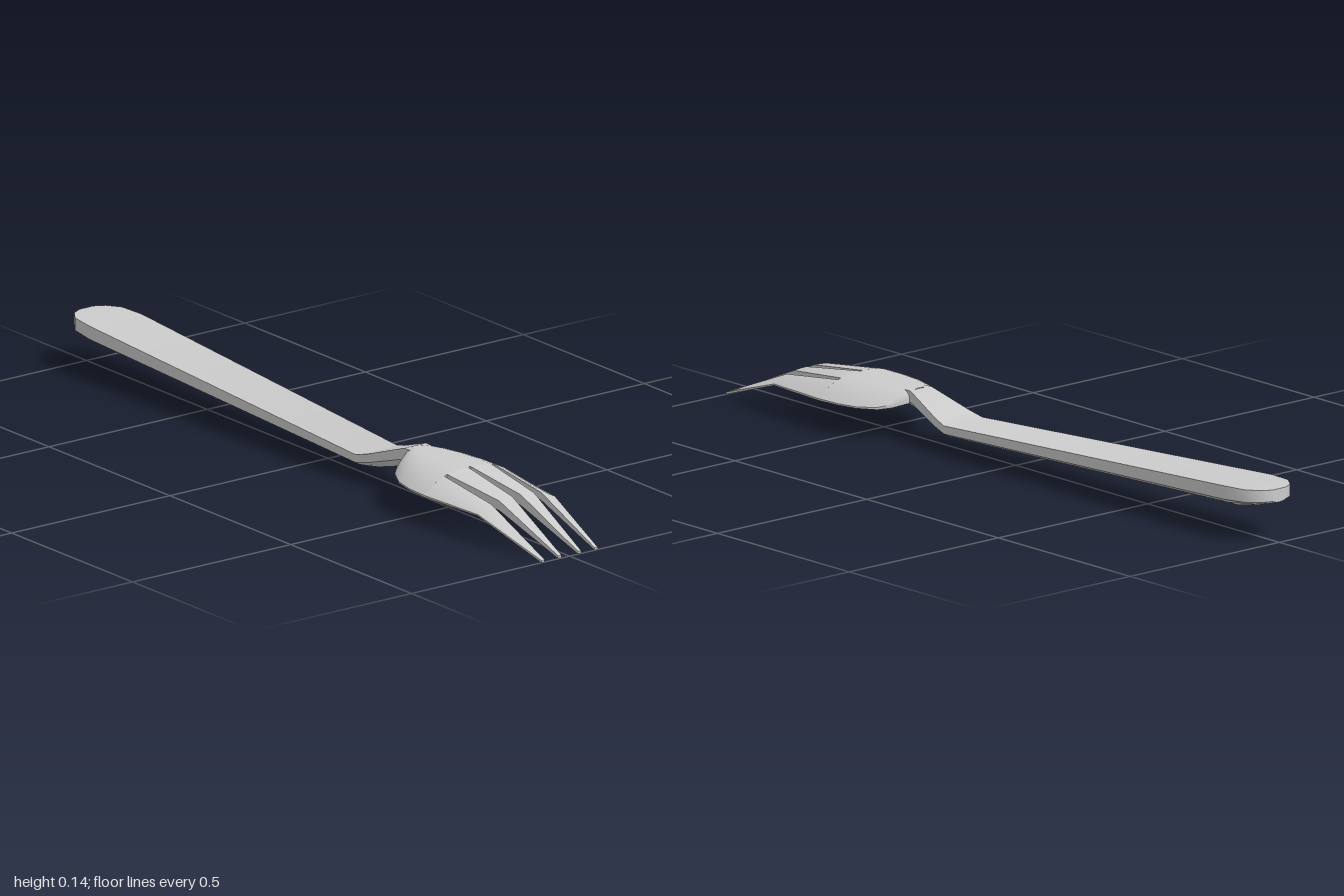
import * as THREE from 'three';
import { toCreasedNormals } from 'three/addons/utils/BufferGeometryUtils.js';

const material = new THREE.MeshStandardMaterial({ color: 0xcccccc });

// Skins rings of points along x; each ring is a top row (-z to +z) then the bottom row back.
function loft(name, rings, crease) {
  const n = rings[0].length;
  const index = [];
  for (let i = 0; i < rings.length - 1; i++) {
    for (let j = 0; j < n; j++) {
      const a = i * n + j, b = i * n + (j + 1) % n;
      index.push(a, b, b + n, a, b + n, a + n);
    }
  }
  // End caps, stitched between the top and bottom rows
  const last = (rings.length - 1) * n;
  for (let j = 0; j < n / 2 - 1; j++) {
    const q = [j, j + 1, n - 2 - j, n - 1 - j];
    index.push(q[0], q[2], q[1], q[0], q[3], q[2]);
    index.push(last + q[0], last + q[1], last + q[2], last + q[0], last + q[2], last + q[3]);
  }
  const geometry = new THREE.BufferGeometry();
  geometry.setAttribute('position', new THREE.Float32BufferAttribute(rings.flat(2), 3));
  geometry.setIndex(index);
  const mesh = new THREE.Mesh(toCreasedNormals(geometry, crease), material);
  mesh.name = name;
  return mesh;
}

// Handle ring: flat top, upright sides, rounded belly
function handleRing([x, w, top, side, bottom]) {
  const us = [-1, -0.8, -0.4, 0, 0.4, 0.8, 1];
  const belly = (u) => side - (side - bottom) * (1 - Math.abs(u) ** 2.2);
  return [
    ...us.map((u) => [x, top, u * w]),
    ...us.map((u) => [x, belly(u), u * w]).reverse(),
  ];
}

// Head ring between z0 and z1: an arched slab whose edges drop towards half-width w
function headRing({ x, w, top, drop, bottom, sag }, z0, z1, steps) {
  const upper = [], lower = [];
  for (let i = 0; i <= steps; i++) {
    const z = z0 + (z1 - z0) * i / steps;
    const arch = Math.abs(z / w) ** 2.8;
    upper.push([x, top - drop * arch, z]);
    lower.push([x, bottom - sag * arch, z]);
  }
  return [...upper, ...lower.reverse()];
}

const station = (x, w, top, drop, bottom, sag) => ({ x, w, top, drop, bottom, sag });

export function createModel() {
  const group = new THREE.Group();
  group.name = 'fork';

  // Handle and neck: x, half width, top, side edge, bottom
  const handle = [
    [-1, 0.022, 0.14, 0.11, 0.105],
    [-0.985, 0.05, 0.14, 0.109, 0.1],
    [-0.95, 0.074, 0.14, 0.107, 0.09],
    [-0.88, 0.082, 0.138, 0.103, 0.075],
    [0.2, 0.065, 0.074, 0.053, 0.034],
    [0.24, 0.058, 0.085, 0.062, 0.041],
    [0.36, 0.035, 0.127, 0.098, 0.074],
    [0.42, 0.03, 0.126, 0.105, 0.088],
  ];
  group.add(loft('handle', handle.map(handleRing), 0.6));

  // Arched bowl
  const root = station(0.585, 0.142, 0.129, 0.048, 0.09, 0.014);
  const bowl = [
    station(0.365, 0.036, 0.129, 0.02, 0.1, 0.006),
    station(0.385, 0.075, 0.13, 0.036, 0.095, 0.01),
    station(0.41, 0.102, 0.13, 0.044, 0.091, 0.011),
    station(0.46, 0.127, 0.13, 0.048, 0.09, 0.012),
    station(0.52, 0.139, 0.13, 0.049, 0.09, 0.013),
    root,
  ];
  group.add(loft('bowl', bowl.map((s) => headRing(s, -s.w, s.w, 16)), 0.6));

  // Four tapering tines, mirrored in pairs; spans give inner and outer z at each station
  const tineStations = [
    root,
    station(0.78, 0.122, 0.103, 0.026, 0.075, 0.002),
    station(1, 0.09, 0.008, 0.002, 0.001, 0.001),
  ];
  const tines = {
    InnerTine: [[0.004, 0.07], [0.013, 0.055], [0.026, 0.036]],
    OuterTine: [[0.079, 0.142], [0.079, 0.122], [0.079, 0.089]],
  };
  for (const [name, spans] of Object.entries(tines)) {
    for (const side of [-1, 1]) {
      const rings = tineStations.map((s, i) => {
        const [a, b] = spans[i];
        return side > 0 ? headRing(s, a, b, 4) : headRing(s, -b, -a, 4);
      });
      group.add(loft((side > 0 ? 'front' : 'back') + name, rings, 0.5));
    }
  }
  return group;
}
